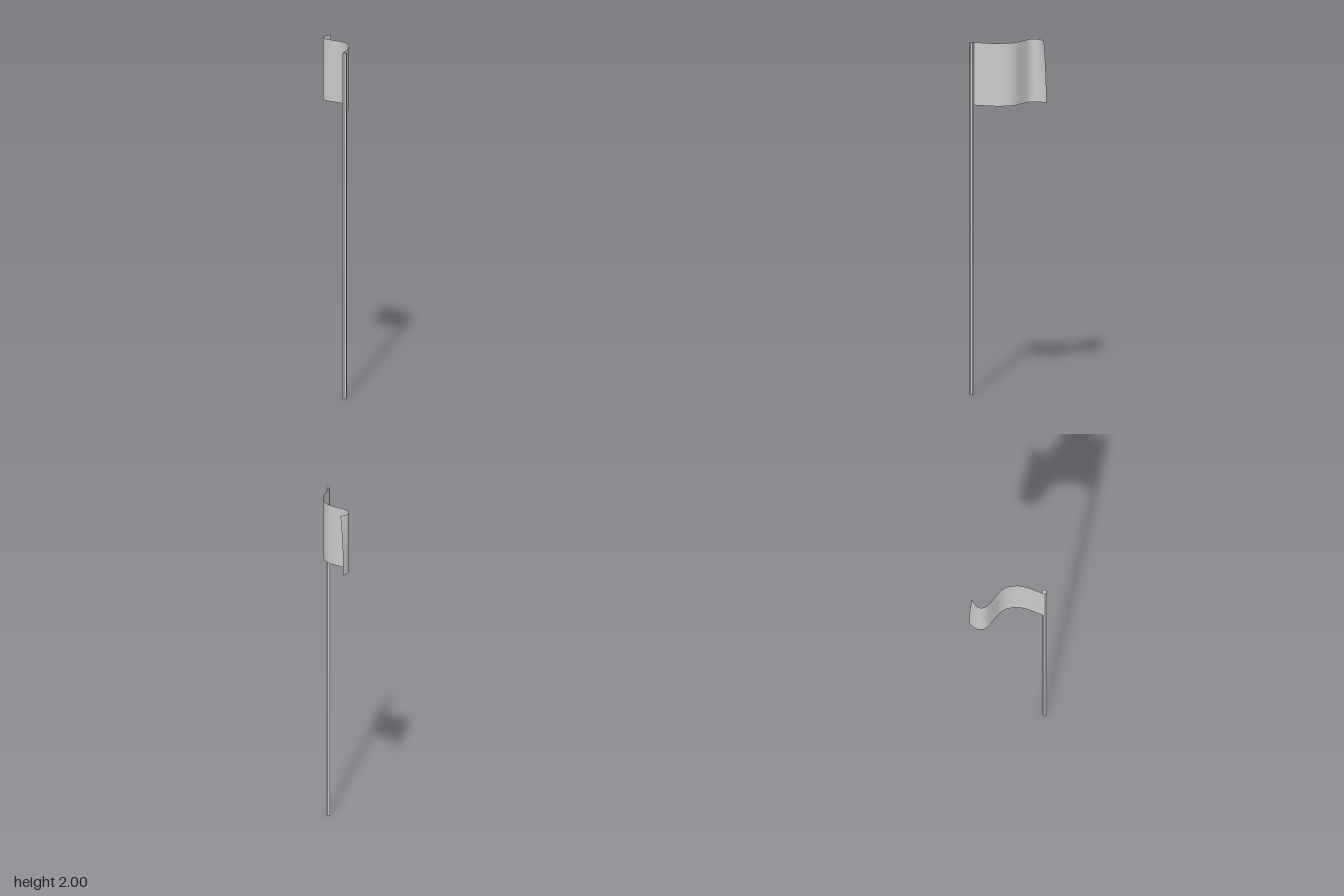
import * as THREE from 'three';

export function createModel() {
  const group = new THREE.Group();

  // Six-sided pole
  const pole = new THREE.Mesh(
    new THREE.CylinderGeometry(0.013, 0.013, 2, 6),
    new THREE.MeshStandardMaterial({ color: 0xcccccc, flatShading: true })
  );
  pole.name = 'pole';
  pole.position.set(-0.124, 1, 0.1625);
  group.add(pole);

  // Waving outline of the cloth from above, as x and z
  const wave = new THREE.CatmullRomCurve3([
    [-0.124, 0.15], [-0.07, 0.128], [-0.03, 0.11], [0.012, 0.081],
    [0.031, 0.058], [0.046, 0.035], [0.056, 0.004], [0.056, -0.029],
    [0.049, -0.079], [0.046, -0.119], [0.053, -0.144], [0.074, -0.165],
    [0.103, -0.174], [0.134, -0.176],
  ].map(([x, z]) => new THREE.Vector3(x, 0, z)));

  // Cloth sheet bent along the wave, its free upper corner curling forward
  const top = 2, bottom = 1.643;
  const cloth = new THREE.PlaneGeometry(1, 1, 26, 8);
  const pos = cloth.attributes.position;
  for (let i = 0; i < pos.count; i++) {
    const u = pos.getX(i) + 0.5;
    const v = pos.getY(i) + 0.5;
    const p = wave.getPoint(u);
    const curl = 0.021 * v * v * THREE.MathUtils.smoothstep(u, 0.8, 1.08) / 0.8;
    pos.setXYZ(i, p.x, THREE.MathUtils.lerp(bottom, top, v), p.z + curl);
  }
  cloth.computeVertexNormals();
  const flag = new THREE.Mesh(
    cloth,
    new THREE.MeshStandardMaterial({ color: 0xcccccc, side: THREE.DoubleSide })
  );
  flag.name = 'flag';
  group.add(flag);

  return group;
}
